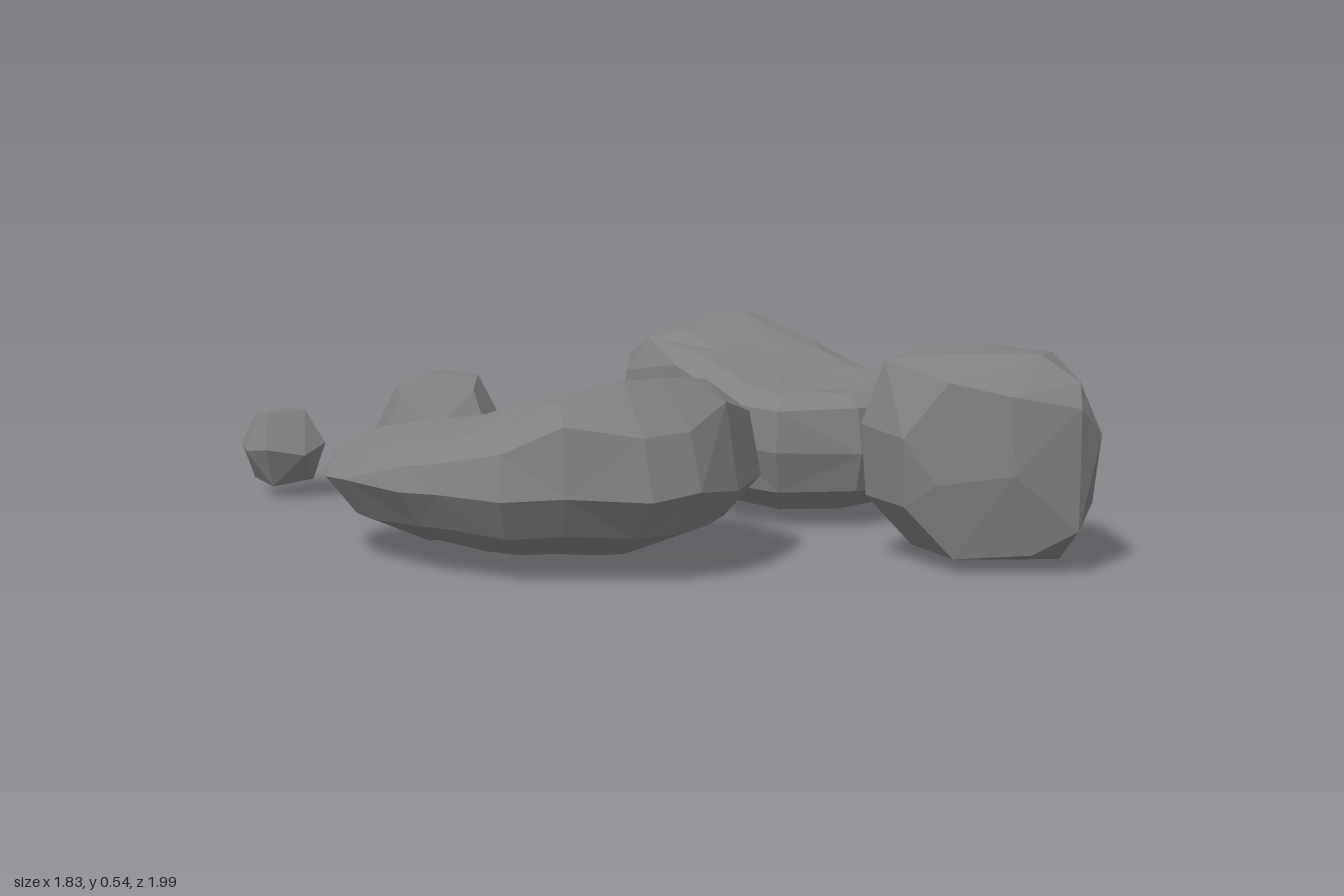
import * as THREE from 'three';
import { ConvexGeometry } from 'three/addons/geometries/ConvexGeometry.js';

const stone = new THREE.MeshStandardMaterial({ color: 0x808080, flatShading: true });
stone.name = 'grey stone';

// Piecewise linear curve through [position, height] pairs
function curve(points, t) {
  if (t <= points[0][0]) return points[0][1];
  for (let i = 1; i < points.length; i++) {
    const [t0, h0] = points[i - 1], [t1, h1] = points[i];
    if (t <= t1) return h0 + (h1 - h0) * (t - t0) / (t1 - t0);
  }
  return points[points.length - 1][1];
}

// A large boulder: its plan outline is scaled into stacked rings. Each ring is
// [scale, height, jitter, useTop]; with useTop the height multiplies the top surface.
function boulder(name, outline, rings, alongX, alongZ) {
  const xs = outline.map(p => p[0]), zs = outline.map(p => p[1]);
  const cx = (Math.min(...xs) + Math.max(...xs)) / 2;
  const cz = (Math.min(...zs) + Math.max(...zs)) / 2;
  const top = (x, z) => Math.min(curve(alongX, x), curve(alongZ, z));
  let seed = outline.length * 7919;
  const noise = () => {
    seed = (seed * 16807) % 2147483647;
    return seed / 2147483647 * 2 - 1;
  };
  const loops = rings.map(([scale, height, jitter, useTop]) => outline.map(([x, z]) => {
    const s = scale === 1 ? 1 : scale * (1 + 0.02 * noise());
    const px = cx + (x - cx) * s, pz = cz + (z - cz) * s;
    return [px, (useTop ? height * top(px, pz) : height) + jitter * noise(), pz];
  }));
  const positions = [];
  for (let r = 0; r + 1 < rings.length; r++) {
    for (let i = 0; i < outline.length; i++) {
      const j = (i + 1) % outline.length;
      const a = loops[r][i], b = loops[r][j], c = loops[r + 1][i], d = loops[r + 1][j];
      if (rings[r][0] === 0) positions.push(...a, ...c, ...d);
      else if (rings[r + 1][0] === 0) positions.push(...a, ...c, ...b);
      else if ((i + r) % 2) positions.push(...a, ...c, ...d, ...a, ...d, ...b);
      else positions.push(...a, ...c, ...b, ...b, ...c, ...d);
    }
  }
  const geometry = new THREE.BufferGeometry();
  geometry.setAttribute('position', new THREE.Float32BufferAttribute(positions, 3));
  geometry.computeVertexNormals();
  const mesh = new THREE.Mesh(geometry, stone);
  mesh.name = name;
  return mesh;
}

// A smaller chipped stone: the hull of a few corners
function chippedStone(name, corners) {
  const mesh = new THREE.Mesh(new ConvexGeometry(corners.map(c => new THREE.Vector3(...c))), stone);
  mesh.name = name;
  return mesh;
}

export function createModel() {
  const group = new THREE.Group();
  group.name = 'rocks';

  // Broad boulder, highest near its front edge
  group.add(boulder('broadBoulder',
    [[-0.92, 0.08], [-0.9, -0.05], [-0.85, -0.13], [-0.7, -0.22], [-0.44, -0.27], [-0.27, -0.24],
      [-0.12, -0.15], [0, 0], [0.07, 0.17], [0.11, 0.37], [0.07, 0.53], [-0.05, 0.65], [-0.18, 0.72],
      [-0.31, 0.73], [-0.5, 0.66], [-0.64, 0.59], [-0.75, 0.45], [-0.82, 0.37], [-0.9, 0.15]],
    [[0, 0.04, 0], [0.53, 0.047, 0.005], [0.85, 0.115, 0.01], [1, 0.215, 0.01], [0.94, 0.92, 0.005, true],
      [0.75, 1, 0, true], [0.4, 1, 0, true], [0, 1, 0, true]],
    [[-0.92, 0.23], [-0.84, 0.28], [-0.6, 0.36], [-0.44, 0.45], [-0.3, 0.51], [-0.15, 0.48], [0, 0.45],
      [0.06, 0.4], [0.11, 0.25]],
    [[-0.27, 0.25], [-0.2, 0.29], [0, 0.33], [0.2, 0.365], [0.35, 0.41], [0.45, 0.455], [0.53, 0.5],
      [0.6, 0.49], [0.73, 0.35]]));

  // Wedge boulder, tall at the back and sloping down to the front
  group.add(boulder('wedgeBoulder',
    [[0.09, -0.45], [0.15, -0.53], [0.3, -0.58], [0.44, -0.57], [0.56, -0.51], [0.71, -0.33],
      [0.84, -0.18], [0.91, 0], [0.89, 0.1], [0.75, 0.2], [0.5, 0.27], [0.28, 0.2], [0.21, 0.06],
      [0.15, -0.2]],
    [[0, 0.035, 0], [0.72, 0.042, 0.005], [0.93, 0.1, 0.01], [1, 0.21, 0.015], [0.96, 0.9, 0.005, true],
      [0.8, 1, 0, true], [0.6, 1, 0, true], [0.3, 1, 0, true], [0, 1, 0, true]],
    [[0.09, 0.4], [0.16, 0.47], [0.42, 0.55], [0.5, 0.54], [0.62, 0.465], [0.72, 0.39], [0.84, 0.33],
      [0.91, 0.26]],
    [[-0.58, 0.41], [-0.52, 0.49], [-0.43, 0.55], [-0.38, 0.55], [-0.25, 0.475], [-0.05, 0.4],
      [0.1, 0.36], [0.27, 0.36]]));

  // Upright block at the front
  group.add(chippedStone('frontBoulder', [
    [0.39, 0.5, 0.58], [0.47, 0.53, 0.76], [0.52, 0.52, 0.51], [0.64, 0.535, 0.6], [0.66, 0.53, 0.87],
    [0.78, 0.52, 0.74], [0.75, 0.51, 0.55], [0.72, 0.47, 0.95], [0.42, 0.47, 0.84], [0.54, 0.44, 0.93],
    [0.33, 0.34, 0.57], [0.33, 0.33, 0.78], [0.52, 0.43, 0.45], [0.68, 0.43, 0.44],
    [0.77, 0.4, 0.5], [0.86, 0.35, 0.62], [0.85, 0.34, 0.78], [0.84, 0.3, 0.87], [0.78, 0.34, 0.96],
    [0.7, 0.41, 0.99], [0.54, 0.25, 0.95], [0.39, 0.22, 0.84],
    [0.34, 0.16, 0.58], [0.34, 0.16, 0.77], [0.68, 0.2, 0.45], [0.52, 0.2, 0.46], [0.83, 0.25, 0.64],
    [0.7, 0.11, 0.99], [0.6, 0.05, 0.94], [0.55, 0.04, 0.57], [0.44, 0.035, 0.64], [0.44, 0.035, 0.84],
    [0.71, 0, 0.72], [0.72, 0.02, 0.88], [0.74, 0.06, 0.57], [0.8, 0.16, 0.9]]));

  // Medium stone at the back
  group.add(chippedStone('mediumStone', [
    [-0.5, 0.33, -0.7], [-0.36, 0.37, -0.7], [-0.46, 0.38, -0.56], [-0.3, 0.37, -0.56],
    [-0.35, 0.34, -0.45], [-0.53, 0.32, -0.56], [-0.27, 0.34, -0.68],
    [-0.57, 0.2, -0.7], [-0.57, 0.24, -0.55], [-0.46, 0.25, -0.76], [-0.33, 0.27, -0.76],
    [-0.23, 0.27, -0.65], [-0.24, 0.22, -0.49], [-0.33, 0.23, -0.4], [-0.47, 0.22, -0.45],
    [-0.52, 0.08, -0.67], [-0.52, 0.1, -0.5], [-0.42, 0.05, -0.71], [-0.33, 0.12, -0.74],
    [-0.27, 0.09, -0.66], [-0.31, 0.05, -0.51], [-0.42, 0.04, -0.5], [-0.34, 0.1, -0.44]]));

  // Two pebbles at the back
  group.add(chippedStone('cornerPebble', [
    [-0.86, 0.235, -0.95], [-0.76, 0.25, -0.97], [-0.74, 0.255, -0.83], [-0.85, 0.25, -0.84],
    [-0.9, 0.15, -0.96], [-0.82, 0.17, -1], [-0.74, 0.2, -1], [-0.74, 0.09, -1], [-0.68, 0.17, -0.92],
    [-0.69, 0.16, -0.8], [-0.76, 0.13, -0.77], [-0.87, 0.15, -0.79], [-0.91, 0.14, -0.86],
    [-0.87, 0.05, -0.93], [-0.75, 0.035, -0.95], [-0.72, 0.05, -0.83], [-0.84, 0.035, -0.83]]));
  group.add(chippedStone('smallPebble', [
    [-0.08, 0.205, -0.85], [0.02, 0.22, -0.86], [0.01, 0.22, -0.75], [-0.08, 0.21, -0.76],
    [-0.14, 0.13, -0.8], [-0.1, 0.12, -0.89], [-0.02, 0.15, -0.91], [0.06, 0.14, -0.83],
    [0.06, 0.12, -0.73], [-0.03, 0.14, -0.7], [-0.1, 0.11, -0.73], [-0.09, 0.04, -0.83],
    [0, 0.035, -0.87], [0.03, 0.04, -0.77], [-0.05, 0.035, -0.75]]));

  return group;
}
